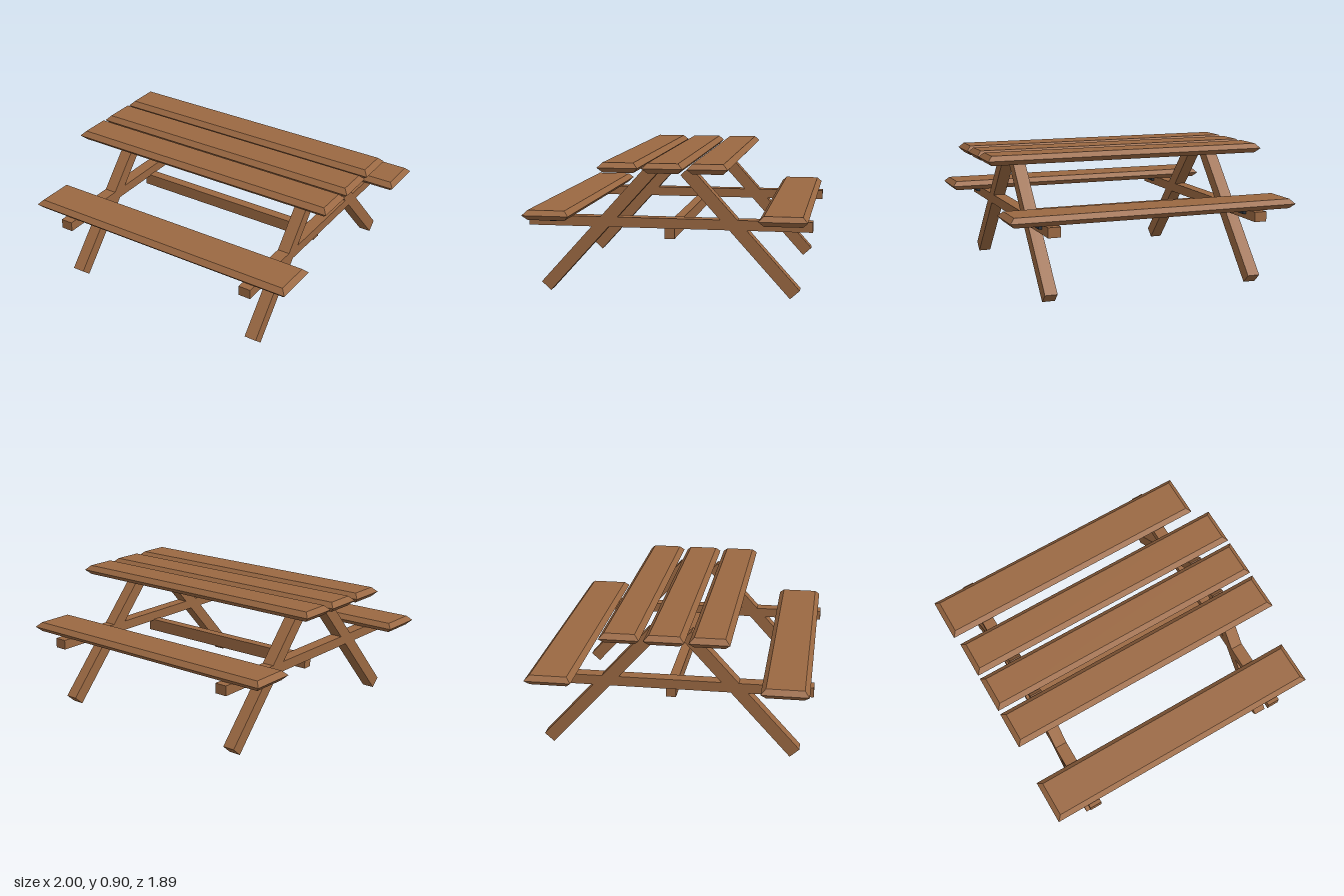
import * as THREE from 'three';

const wood = new THREE.MeshStandardMaterial({ color: 0x9a6842 });
wood.name = 'brown wood';
const metal = new THREE.MeshStandardMaterial({ color: 0x27303a });
metal.name = 'dark metal';

const THICK = 0.065; // plank thickness
const BEVEL = 0.032; // inset of the plank's upper and lower faces
const SIDE_X = 0.723; // distance of each trestle from the middle
const BEAM = 0.085; // timber width

// Plank widest at mid-height, tapering to smaller upper and lower faces
function plankGeometry(length, depth) {
  const box = new THREE.BoxGeometry(length, THICK, depth, 1, 2, 1);
  const p = box.attributes.position;
  for (let i = 0; i < p.count; i++) {
    if (Math.abs(p.getY(i)) < 0.001) continue;
    p.setX(i, p.getX(i) - Math.sign(p.getX(i)) * BEVEL);
    p.setZ(i, p.getZ(i) - Math.sign(p.getZ(i)) * BEVEL);
  }
  const flat = box.toNonIndexed();
  flat.computeVertexNormals();
  return flat;
}

export function createModel() {
  const model = new THREE.Group();
  model.name = 'picnicTable';

  function add(name, geometry, material, x, y, z, parent = model) {
    const mesh = new THREE.Mesh(geometry, material);
    mesh.name = name;
    mesh.position.set(x, y, z);
    parent.add(mesh);
    return mesh;
  }

  // Table top: three planks with narrow gaps
  const topPlank = plankGeometry(2, 0.262);
  for (const z of [-0.29, -0.002, 0.287]) add('topPlank', topPlank, wood, 0, 0.866, z);

  // Bench seats
  const seat = plankGeometry(2, 0.31);
  for (const s of [-1, 1]) add(s > 0 ? 'frontSeat' : 'backSeat', seat, wood, 0, 0.545, s * 0.768);

  // Trestles: crossbeam, two slanted legs and a metal fixing under each seat
  const beam = new THREE.BoxGeometry(BEAM, 0.067, 1.886);
  const leg = new THREE.BoxGeometry(BEAM, 1.076, BEAM);
  const fixing = new THREE.BoxGeometry(0.13, 0.034, 0.068);
  const slant = Math.atan2(0.722, 0.798);
  for (const side of [-1, 1]) {
    const trestle = new THREE.Group();
    trestle.name = side > 0 ? 'leftTrestle' : 'rightTrestle';
    trestle.position.x = side * SIDE_X;
    model.add(trestle);
    add('crossbeam', beam, wood, 0, 0.479, 0, trestle);
    for (const s of [-1, 1]) {
      const l = add(s > 0 ? 'frontLeg' : 'backLeg', leg, wood, 0, 0.43, s * 0.4735, trestle);
      l.rotation.x = -s * slant;
      add('seatFixing', fixing, metal, 0, 0.496, s * 0.781, trestle);
    }
  }

  // Long stretcher joining the trestles
  add('stretcher', new THREE.BoxGeometry(1.44, 0.085, 0.066), wood, 0, 0.41, 0);

  return model;
}
